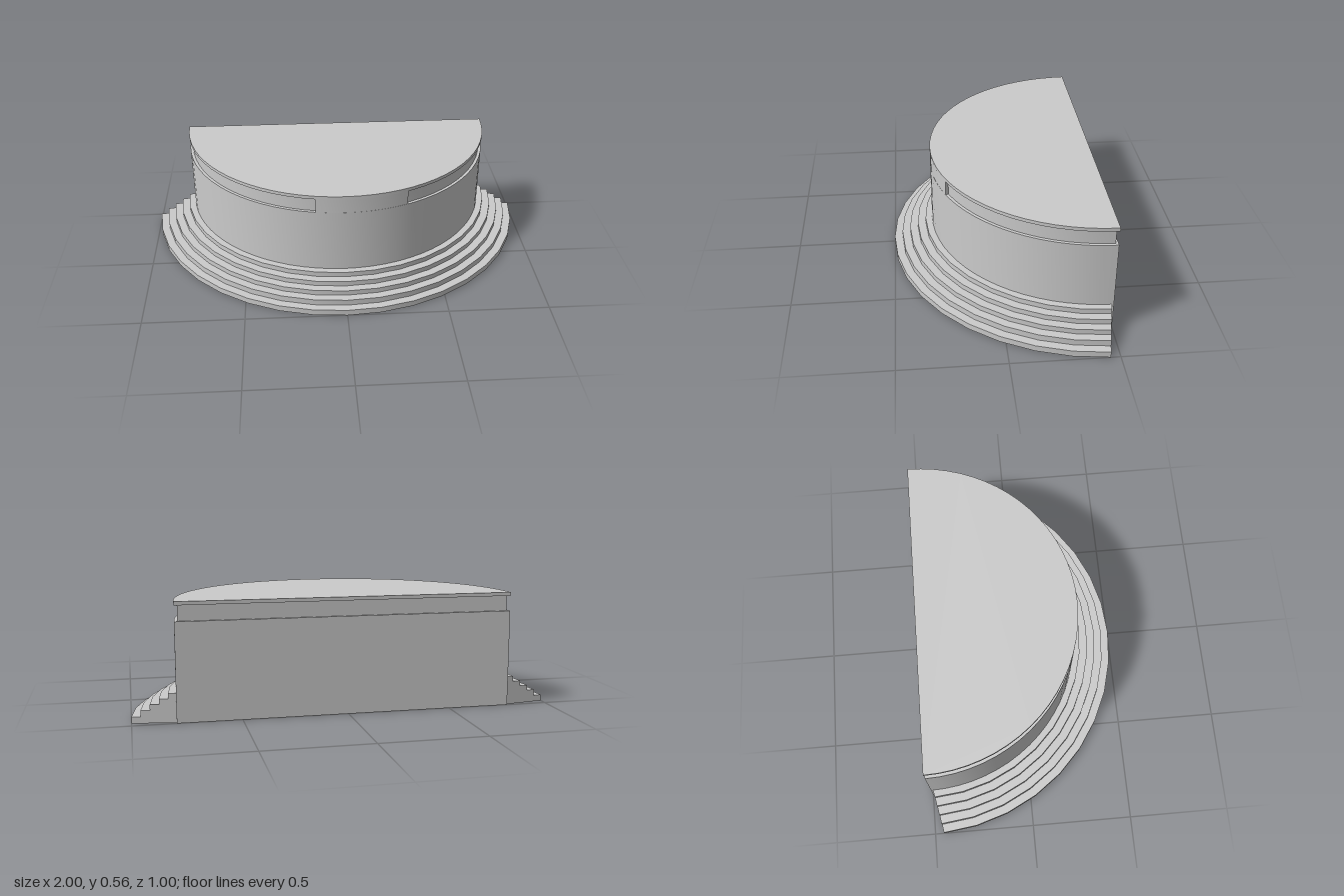
import * as THREE from 'three';
import { toCreasedNormals } from 'three/addons/utils/BufferGeometryUtils.js';

const BACK = -0.5;
const material = new THREE.MeshStandardMaterial({ color: 0xcccccc });

// Points (x, -z) on an arc about the middle of the back wall; angle 0 faces the front
function arc(radius, from, to, segments) {
  const points = [];
  for (let i = 0; i <= segments; i++) {
    const a = from + (to - from) * i / segments;
    points.push(new THREE.Vector2(radius * Math.sin(a), -(BACK + radius * Math.cos(a))));
  }
  return points;
}

// Upright slab with the given outline, between two heights
function slab(name, points, bottom, top) {
  const geometry = new THREE.ExtrudeGeometry(new THREE.Shape(points), { depth: top - bottom, bevelEnabled: false });
  geometry.rotateX(-Math.PI / 2).translate(0, bottom, 0);
  const mesh = new THREE.Mesh(toCreasedNormals(geometry, 0.5), material);
  mesh.name = name;
  return mesh;
}

// Half disc whose flat side lies at angle "end" from the front
function halfDisc(name, radius, inset, bottom, top) {
  const end = Math.PI / 2 - Math.asin(inset / radius);
  return slab(name, arc(radius, -end, end, 36), bottom, top);
}

// Curved step whose ends slant slightly forward
function step(name, radius, bottom, top) {
  const endAngle = r => Math.PI / 2 - Math.asin((0.01 + (r - 0.8) * 0.175) / r);
  const outer = endAngle(radius), inner = endAngle(0.78);
  return slab(name, [...arc(radius, -outer, outer, 18), ...arc(0.78, inner, -inner, 18)], bottom, top);
}

export function createModel() {
  const group = new THREE.Group();
  group.name = 'halfRoundStage';

  // Drum, recessed band and top plate
  group.add(halfDisc('drum', 0.8, 0, 0, 0.465));
  group.add(halfDisc('recessedBand', 0.785, 0.012, 0.465, 0.538));
  group.add(halfDisc('topPlate', 0.8, 0, 0.538, 0.555));

  // Flush panel in the front of the band
  group.add(slab('bandPanel', [...arc(0.799, -0.18, 0.4, 10), ...arc(0.77, 0.4, -0.18, 10)], 0.465, 0.538));

  // Five curved steps round the drum
  const steps = new THREE.Group();
  steps.name = 'steps';
  const heights = [0, 0.03, 0.06, 0.086, 0.112, 0.138];
  for (let i = 0; i < 5; i++) {
    steps.add(step('step' + (i + 1), 1.001 - i * 0.0415, heights[i], heights[i + 1]));
  }
  group.add(steps);
  return group;
}
